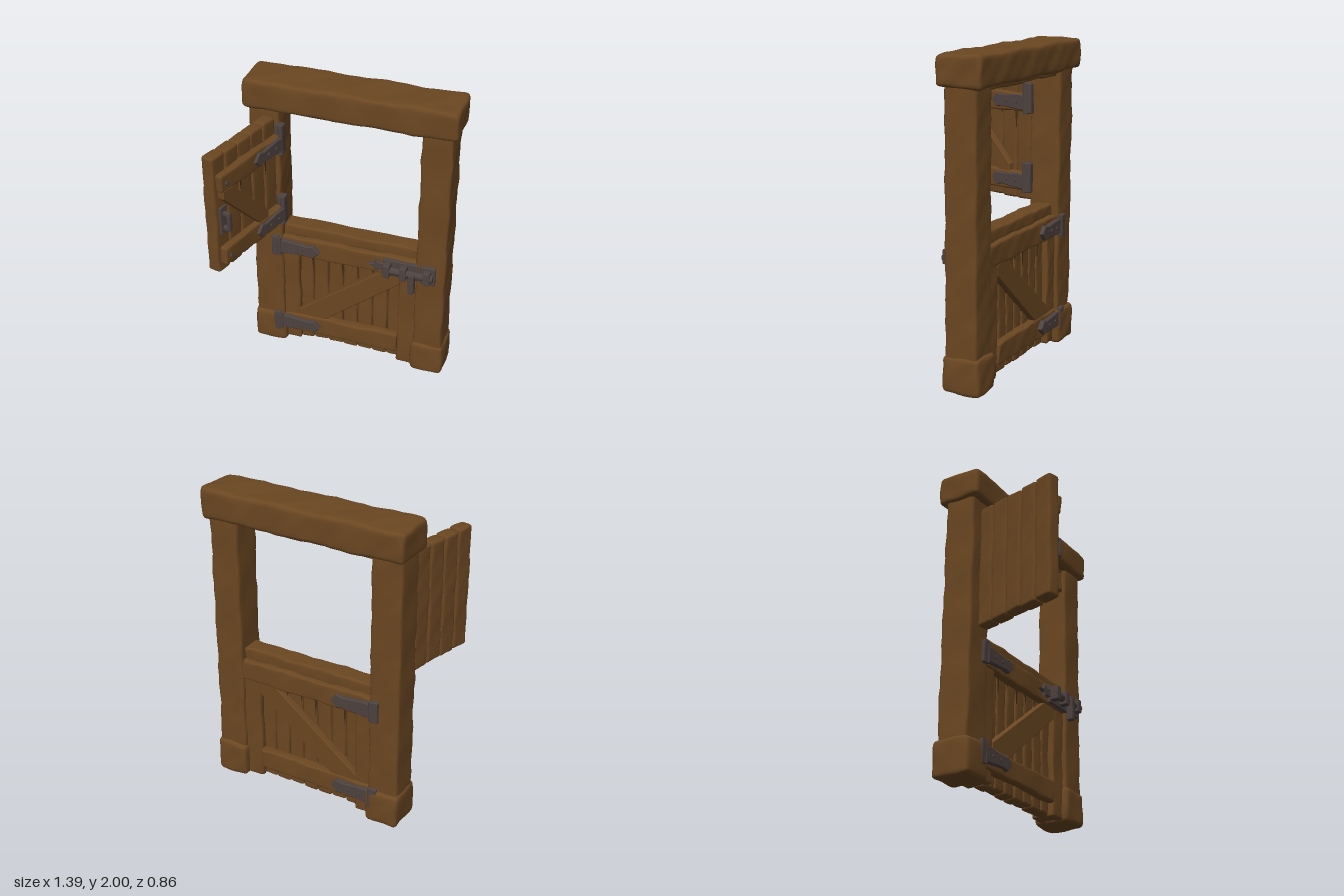
import * as THREE from 'three';
import { mergeVertices } from 'three/addons/utils/BufferGeometryUtils.js';

const wood = new THREE.MeshStandardMaterial({ color: 0x6b4722 });
wood.name = 'wood';
const darkWood = new THREE.MeshStandardMaterial({ color: 0x3f2a14, side: THREE.DoubleSide });
darkWood.name = 'dark wood';
const iron = new THREE.MeshStandardMaterial({ color: 0x4d4240 });
iron.name = 'iron';

let seed = 1;

// Worn, rounded block between two corners; wear is the depth of the dents
function block(parent, name, [x0, x1], [y0, y1], [z0, z1], { mat = wood, r = 0.016, wear = 0.004 } = {}) {
  const size = [x1 - x0, y1 - y0, z1 - z0];
  r = Math.min(r, Math.min(...size) * 0.4);
  const n = size.map((s) => 5 + Math.ceil(s / 0.07));
  let geo = new THREE.BoxGeometry(1, 1, 1, ...n);
  geo.deleteAttribute('normal');
  geo.deleteAttribute('uv');
  geo = mergeVertices(geo);
  const ph = seed++ * 2.39;
  const pos = geo.attributes.position;
  for (let i = 0; i < pos.count; i++) {
    // grid lines gather near the edges so that these can be rounded
    const p = [0, 1, 2].map((a) => {
      const h = size[a] / 2, k = Math.round((pos.getComponent(i, a) + 0.5) * n[a]);
      const e = Math.min(k, n[a] - k), s = k < n[a] / 2 ? -1 : 1;
      if (e === 0) return s * h;
      if (e === 1) return s * (h - r * 0.45);
      return -h + r + ((k - 2) / (n[a] - 4)) * 2 * (h - r);
    });
    const core = p.map((v, a) => THREE.MathUtils.clamp(v, r - size[a] / 2, size[a] / 2 - r));
    const d = new THREE.Vector3(...p.map((v, a) => v - core[a]));
    if (d.lengthSq() > 1e-10) d.setLength(r);
    const q = core.map((v, a) => v + d.getComponent(a));
    const w = q.map((v, a) => {
      const b = q[(a + 1) % 3], c = q[(a + 2) % 3];
      const wave = Math.sin(b * 17 + ph + a) * Math.cos(c * 13 + ph * 1.7) + 0.5 * Math.sin((b + c) * 37 + ph * 3);
      return v + wear * wave * Math.sign(v) * Math.min(1, Math.abs(v) / (size[a] / 2));
    });
    pos.setXYZ(i, ...w);
  }
  geo.computeVertexNormals();
  const m = new THREE.Mesh(geo, mat);
  m.name = name;
  m.position.set((x0 + x1) / 2, (y0 + y1) / 2, (z0 + z1) / 2);
  parent.add(m);
  return m;
}

// Flat outline from z0 to z1 with softened edges
function plate(parent, name, pts, z0, z1, mat) {
  const b = 0.005;
  const shape = new THREE.Shape(pts.map(([x, y]) => new THREE.Vector2(x, y)));
  const geo = new THREE.ExtrudeGeometry(shape, {
    depth: z1 - z0 - 2 * b, bevelThickness: b, bevelSize: b, bevelOffset: -b, bevelSegments: 1,
  });
  const m = new THREE.Mesh(geo, mat);
  m.name = name;
  m.position.z = z0 + b;
  parent.add(m);
  return m;
}

// Strap hinge with a pointed tip along +x (dir 1) or -x (dir -1)
function strap(parent, x, y, z0, z1, dir, length) {
  const L = length;
  const half = [[0, 0.045], [0.05, 0.05], [L - 0.09, 0.036], [L - 0.045, 0.045], [L, 0]];
  let pts = [...half, ...half.slice(0, -1).reverse().map(([a, b]) => [a, -b])];
  pts = pts.map(([a, b]) => [x + dir * a, y + b]);
  plate(parent, 'hingeStrap', dir > 0 ? pts.reverse() : pts, z0, z1, iron);
}

function rod(parent, name, r, h, [x, y, z], axis = 'y') {
  const m = new THREE.Mesh(new THREE.CylinderGeometry(r, r, h, 12), iron);
  m.name = name;
  m.position.set(x, y, z);
  if (axis === 'x') m.rotation.z = Math.PI / 2;
  if (axis === 'z') m.rotation.x = Math.PI / 2;
  parent.add(m);
}

// Row of vertical planks with dark stains running down the face from the top rail
function planks(parent, count, x0, x1, y0, y1, z, stainTop, stainZ, facing) {
  const w = (x1 - x0) / count;
  for (let i = 0; i < count; i++) {
    const a = x0 + i * w, j = 0.008 * Math.sin(i * 5.1 + 1);
    block(parent, 'plank', [a + 0.001, a + w - 0.001], [y0 + Math.abs(j), y1 + j * 0.4], z, { r: 0.018, wear: 0.003 });
    const len = 0.09 + 0.06 * Math.sin(i * 3.7);
    const s = new THREE.Shape([[a - 0.011, stainTop], [a + 0.011, stainTop], [a + 0.003, stainTop - len]]
      .map(([u, v]) => new THREE.Vector2(u, v)));
    for (const f of facing) {
      const m = new THREE.Mesh(new THREE.ShapeGeometry(s), darkWood);
      m.name = 'stain';
      m.position.z = stainZ[f];
      if (i) parent.add(m);
    }
  }
}

export function createModel() {
  const model = new THREE.Group();
  model.name = 'stableDoor';

  // Frame
  const frame = new THREE.Group();
  frame.name = 'frame';
  model.add(frame);
  block(frame, 'lintel', [-0.66, 0.695], [1.802, 1.995], [-0.43, -0.135], { r: 0.03, wear: 0.005 });
  block(frame, 'headStrip', [-0.46, 0.49], [1.77, 1.83], [-0.36, -0.2]);
  for (const [x0, x1] of [[-0.635, -0.435], [0.47, 0.665]]) {
    block(frame, 'post', [x0, x1], [0.02, 1.84], [-0.385, -0.175], { r: 0.022 });
    block(frame, 'footBlock', [x0 - 0.012, x1 + 0.013], [0.003, 0.235], [-0.408, -0.158], { r: 0.03 });
  }

  // Lower door, closed, framed alike on both faces
  const lower = new THREE.Group();
  lower.name = 'lowerDoor';
  model.add(lower);
  planks(lower, 9, -0.45, 0.48, 0.018, 0.9, [-0.325, -0.235], 0.735, { 1: -0.229, 0: -0.331 }, [0, 1]);
  block(lower, 'topCap', [-0.45, 0.48], [0.86, 0.945], [-0.34, -0.22]);
  const brace = [[-0.34, 0.23], [-0.16, 0.23], [0.36, 0.66], [0.36, 0.735], [0.24, 0.735], [-0.34, 0.28]];
  for (const side of [1, -1]) {
    const face = new THREE.Group();
    face.name = side > 0 ? 'frontFace' : 'backFace';
    face.position.z = -0.28;
    lower.add(face);
    const zs = (a, b) => (side > 0 ? [a, b] : [-b, -a]);
    block(face, 'stile', [-0.45, -0.33], [0.02, 0.87], zs(0.03, 0.082));
    block(face, 'stile', [0.355, 0.485], [0.015, 0.87], zs(0.03, 0.082));
    block(face, 'topRail', [-0.45, 0.48], [0.73, 0.872], zs(0.03, 0.095));
    block(face, 'bottomRail', [-0.45, 0.36], [0.1, 0.24], zs(0.03, 0.095));
    plate(face, 'brace', brace, ...zs(0.03, 0.085), wood);
    // Hinges
    for (const y of [0.8, 0.175]) {
      strap(face, -0.46, y, ...zs(0.085, 0.122), 1, 0.285);
      block(face, 'hingePlate', [-0.505, -0.455], [y - 0.075, y + 0.075], zs(0.085, 0.127), { mat: iron, r: 0.008, wear: 0.002 });
      rod(face, 'hingePin', 0.016, 0.13, [-0.455, y, side * 0.115]);
      for (const x of [-0.38, -0.3]) rod(face, 'rivet', 0.011, 0.014, [x, y, side * 0.122], 'z');
    }
  }

  // Sliding bolt
  const bolt = new THREE.Group();
  bolt.name = 'bolt';
  model.add(bolt);
  const metal = { mat: iron, r: 0.008, wear: 0.0015 };
  plate(bolt, 'boltPlate', [[0.15, 0.8], [0.195, 0.785], [0.2, 0.755], [0.23, 0.775], [0.26, 0.77], [0.26, 0.74],
    [0.49, 0.74], [0.49, 0.86], [0.26, 0.86], [0.26, 0.83], [0.23, 0.825], [0.2, 0.845], [0.195, 0.815]], -0.2, -0.165, iron);
  block(bolt, 'keeperPlate', [0.505, 0.605], [0.735, 0.868], [-0.19, -0.152], metal);
  rod(bolt, 'slidingRod', 0.026, 0.33, [0.43, 0.8, -0.143], 'x');
  for (const x of [0.29, 0.4, 0.555]) {
    block(bolt, 'boltGuide', [x - 0.024, x + 0.024], [0.755, 0.848], [-0.18, -0.113], metal);
  }
  block(bolt, 'boltHandle', [0.44, 0.48], [0.67, 0.82], [-0.15, -0.105], metal);

  // Upper shutter, swung open about the post
  const shutter = new THREE.Group();
  shutter.name = 'upperShutter';
  shutter.position.set(-0.458, 0, -0.175);
  shutter.rotation.y = 1.323;
  model.add(shutter);
  planks(shutter, 5, -0.62, 0, 0.94, 1.75, [-0.085, 0], 1.525, { 1: 0.005 }, [1]);
  for (const [y0, y1] of [[1.005, 1.13], [1.522, 1.645]]) {
    block(shutter, 'rail', [-0.595, -0.005], [y0, y1], [-0.01, 0.046]);
    const y = (y0 + y1) / 2 + 0.005;
    strap(shutter, -0.01, y, 0.04, 0.064, -1, 0.28);
    for (const x of [-0.08, -0.16]) rod(shutter, 'rivet', 0.011, 0.014, [x, y, 0.066], 'z');
    rod(shutter, 'railPeg', 0.014, 0.012, [-0.55, y - 0.01, 0.05], 'z');
    // plate fixed to the post
    block(model, 'postHingePlate', [-0.455, -0.4], [y - 0.07, y + 0.125], [-0.2, -0.15], metal);
    rod(model, 'shutterHingePin', 0.017, 0.2, [-0.415, y + 0.025, -0.15]);
  }
  plate(shutter, 'shutterBrace', [[-0.58, 1.53], [-0.58, 1.475], [-0.24, 1.12], [-0.15, 1.12], [-0.15, 1.17], [-0.49, 1.53]], -0.01, 0.04, wood);

  // Shutter handle
  block(shutter, 'handlePlate', [-0.59, -0.525], [1.215, 1.41], [-0.005, 0.018], metal);
  block(shutter, 'handleGrip', [-0.572, -0.543], [1.25, 1.375], [0.043, 0.066], metal);
  for (const y of [1.262, 1.363]) block(shutter, 'handleLug', [-0.572, -0.543], [y - 0.014, y + 0.014], [0.01, 0.06], metal);
  return model;
}
